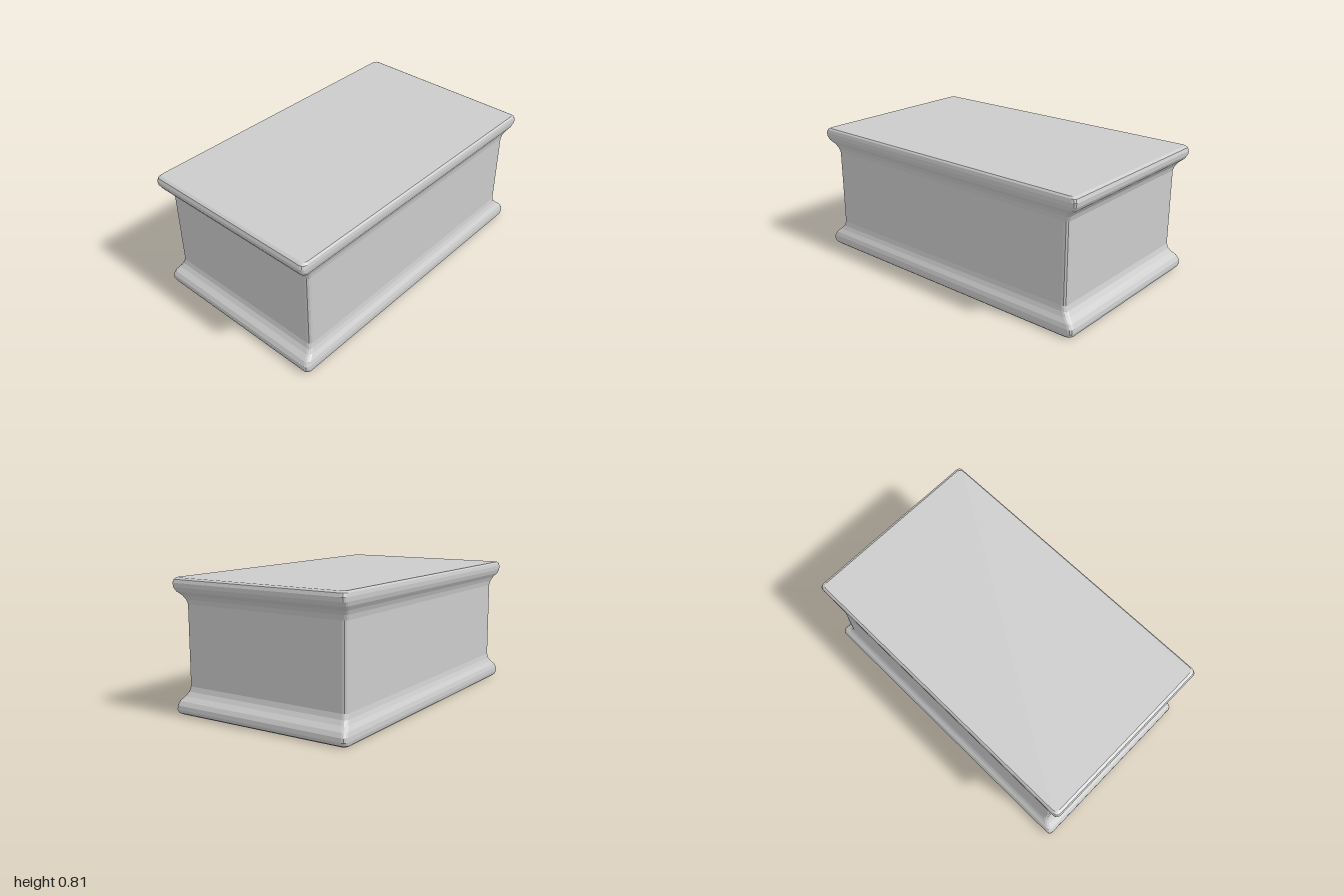
import * as THREE from 'three';

const material = new THREE.MeshStandardMaterial({ color: 0xcccccc, flatShading: true });

// Lower half of the moulding: [height, flare], flare 0 = body wall, 1 = widest rim
const HEIGHT = 0.81;
const foot = [
  [0, 0.68], [0.01, 0.9], [0.03, 1], [0.055, 0.97],
  [0.08, 0.78], [0.105, 0.38], [0.13, 0.13], [0.16, 0],
];
const profile = [...foot, ...foot.map(([y, f]) => [HEIGHT - y, f]).reverse()];

// Rounded rectangle ring at one height, counter-clockwise seen from above
const CORNER_STEPS = 3;
function ring([y, flare]) {
  const hx = 0.555 + 0.042 * flare;
  const hz = 0.925 + 0.075 * flare;
  const r = 0.026;
  const points = [];
  for (let c = 0; c < 4; c++) {
    const sx = c === 0 || c === 3 ? 1 : -1;
    const sz = c < 2 ? -1 : 1;
    for (let i = 0; i <= CORNER_STEPS; i++) {
      const a = (c + i / CORNER_STEPS) * Math.PI / 2;
      points.push([sx * (hx - r) + r * Math.cos(a), y, sz * (hz - r) - r * Math.sin(a)]);
    }
  }
  return points;
}

// Skin between successive rings, closed by a flat cap at each end
function loft(rings) {
  const n = rings[0].length;
  const positions = rings.flat(2);
  const index = [];
  for (let k = 0; k < rings.length - 1; k++) {
    for (let i = 0; i < n; i++) {
      const a = k * n + i, b = k * n + (i + 1) % n;
      index.push(a, b, b + n, a, b + n, a + n);
    }
  }
  const top = (rings.length - 1) * n;
  for (let i = 1; i < n - 1; i++) {
    index.push(0, i + 1, i);
    index.push(top, top + i, top + i + 1);
  }
  const geometry = new THREE.BufferGeometry();
  geometry.setAttribute('position', new THREE.Float32BufferAttribute(positions, 3));
  geometry.setIndex(index);
  const flat = geometry.toNonIndexed();
  flat.computeVertexNormals();
  return flat;
}

export function createModel() {
  const model = new THREE.Group();
  model.name = 'plinth';

  // Body with flared base and top mouldings in one continuous skin
  const block = new THREE.Mesh(loft(profile.map(ring)), material);
  block.name = 'mouldedBlock';
  model.add(block);

  return model;
}
